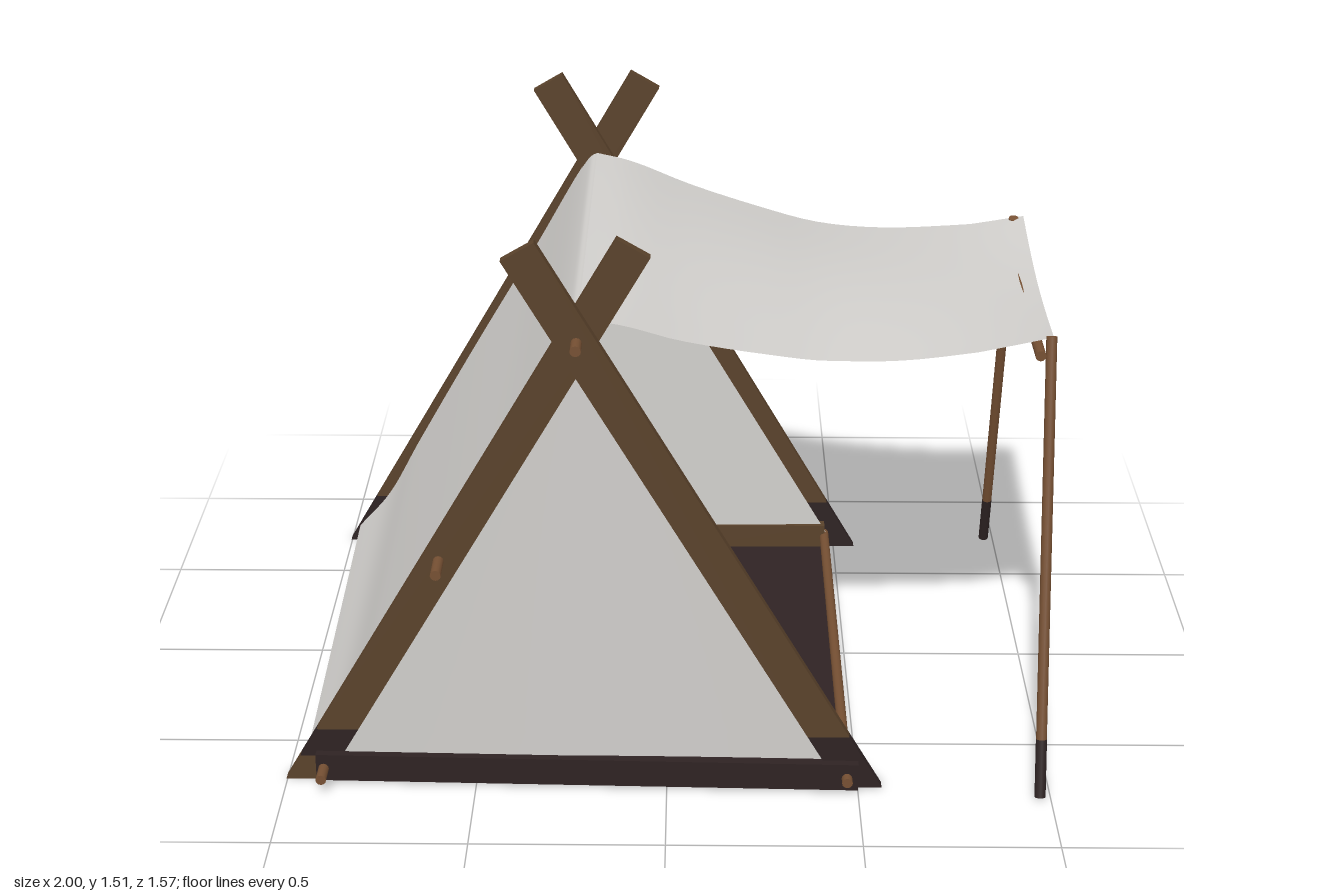
import * as THREE from 'three';

const mat = (name, color, side = THREE.FrontSide) => {
  const m = new THREE.MeshStandardMaterial({ color, side });
  m.name = name;
  return m;
};

export function createModel() {
  const beamWood = mat('beam wood', 0x5a422b);
  const poleWood = mat('pole wood', 0x765033);
  const charred = mat('dark wood', 0x2e2323);
  const floorCloth = mat('floor cloth', 0x2f2324, THREE.DoubleSide);
  const canvas = mat('canvas', 0xd1cfcc, THREE.DoubleSide);

  const tent = new THREE.Group();
  tent.name = 'tent';
  const add = (name, geo, material) => {
    const m = new THREE.Mesh(geo, material);
    m.name = name;
    tent.add(m);
    return m;
  };

  // Round pole between two points
  const pole = (name, a, b, r, material) => {
    const p = new THREE.Vector3(...a), q = new THREE.Vector3(...b);
    const dir = q.clone().sub(p);
    const m = add(name, new THREE.CylinderGeometry(r, r, dir.length(), 12), material);
    m.position.copy(p).add(q).multiplyScalar(0.5);
    m.quaternion.setFromUnitVectors(new THREE.Vector3(0, 1, 0), dir.normalize());
  };

  // Smooth cloth sheet from a rule f(u, v) -> [x, y, z]
  const sheet = (name, nu, nv, f, material) => {
    const geo = new THREE.PlaneGeometry(1, 1, nu, nv);
    const pos = geo.attributes.position;
    for (let i = 0; i < pos.count; i++) {
      pos.setXYZ(i, ...f(pos.getX(i) + 0.5, pos.getY(i) + 0.5));
    }
    geo.computeVertexNormals();
    return add(name, geo, material);
  };

  // Smooth profile through a few points, and straight interpolation along an edge
  const spline = (pts) => new THREE.CatmullRomCurve3(pts.map(([x, y]) => new THREE.Vector3(x, y, 0)), false, 'centripetal');
  const lerp = THREE.MathUtils.lerp;
  const along = (pts, x) => {
    let i = 0;
    while (i < pts.length - 2 && x > pts[i + 1][0]) i++;
    const [a, b] = [pts[i], pts[i + 1]];
    return lerp(a[1], b[1], (x - a[0]) / (b[0] - a[0]));
  };

  // Crossed A-frame beams: s = 1 leans right, s = -1 leans left
  const cx = -0.22, slope = 0.583, half = 0.0545;
  const beamPart = (name, s, z, y0, y1, top, material) => {
    const mid = (y) => cx + s * slope * (y - 1.25);
    const pts = top
      ? [[mid(y0) - s * half, y0], [mid(y0) + s * half, y0], [mid(1.49) + s * 0.041, 1.466], [mid(1.49) - s * 0.041, 1.514]]
      : [[mid(y0) - s * half, y0], [mid(y0) + s * half, y0], [mid(y1) + s * half, y1], [mid(y1) - s * half, y1]];
    const shape = new THREE.Shape(pts.map(([x, y]) => new THREE.Vector2(x, y)));
    const geo = new THREE.ExtrudeGeometry(shape, { depth: 0.027, bevelEnabled: false });
    geo.translate(0, 0, z - 0.0135);
    add(name, geo, material);
  };
  for (const [s, z, low] of [[1, 0.68, 0.07], [-1, 0.707, 0], [1, -0.725, 0], [-1, -0.697, 0]]) {
    if (low) beamPart('beamFoot', s, z, 0, low, false, beamWood);
    beamPart('beamDarkEnd', s, z, low, 0.15, false, charred);
    beamPart('beam', s, z, 0.15, 0, true, beamWood);
  }

  // Long rails running front to back
  for (const [name, x, y] of [['ridgePole', -0.22, 1.255], ['wallRail', -0.58, 0.645], ['lowerRail', -0.9, 0.045], ['entranceRail', 0.47, 0.045]]) {
    pole(name, [x, y, -0.785], [x, y, 0.775], 0.014, poleWood);
  }

  // Base boards: dark in front, two patched layers behind
  const front = add('frontBaseBoard', new THREE.BoxGeometry(1.42, 0.076, 0.022), charred);
  front.position.set(-0.21, 0.047, 0.722);
  front.rotation.y = -0.025;
  const patchedBoard = (name, z, depth, cuts) => {
    for (let i = 0; i < cuts.length - 1; i++) {
      const w = cuts[i + 1] - cuts[i];
      const b = add(name, new THREE.BoxGeometry(w, 0.076, depth), i % 2 ? beamWood : charred);
      b.position.set(cuts[i] + w / 2, 0.047, z);
    }
  };
  patchedBoard('backOuterBoard', -0.697, 0.024, [-0.93, -0.8, -0.62, -0.45, -0.28, -0.21, -0.04, 0.03, 0.25, 0.5]);
  patchedBoard('backInnerBoard', -0.668, 0.034, [-0.93, -0.75, -0.32, -0.21, -0.09, 0.04, 0.47]);

  // Ground sheet with a low fold at the closed side
  sheet('floor', 24, 24, (u, v) => {
    const x = lerp(-0.93, 0.47, u), z = lerp(0.68, -0.69, v);
    const fold = 0.075 * Math.max(0, 1 - Math.abs(z + 0.36) / 0.3) * Math.max(0, 1 - Math.abs(x + 0.8) / 0.1);
    return [x, 0.013 + fold, z];
  }, floorCloth);

  // Sloping canvas wall, wrapped over the ridge pole and flared at the hem
  const wallCurve = spline([[-0.22, 1.278], [-0.24, 1.266], [-0.412, 0.975], [-0.603, 0.652], [-0.775, 0.35], [-0.875, 0.17], [-0.97, 0.06]]);
  sheet('slopingWall', 16, 40, (u, v) => {
    const p = wallCurve.getPoint(1 - v);
    return [p.x + 0.02 * u * (1 - v) ** 3, p.y, lerp(-0.69, 0.63, u)];
  }, canvas);

  // Triangular end walls, sagging slightly inward
  for (const s of [1, -1]) {
    sheet('endWall', 16, 16, (u, v) => {
      const w = 0.7 * (1 - v) * (u * 2 - 1);
      const sag = 0.012 * Math.sin(Math.PI * u) * (1 - v);
      return [cx + w, lerp(0.05, 1.24, v), s * (0.664 - sag)];
    }, canvas);
  }

  // Awning: sagging sheet that narrows toward its poles and dips onto the bar
  const frontEdge = [[-0.22, 0.625], [0, 0.597], [0.2, 0.55], [0.45, 0.492], [0.8, 0.48], [1, 0.445]];
  const backEdge = [[-0.22, -0.685], [-0.1, -0.66], [0.2, -0.59], [0.5, -0.52], [0.85, -0.44], [1, -0.44]];
  const sagCurve = spline([[-0.22, 1.278], [-0.12, 1.268], [0.05, 1.218], [0.25, 1.17], [0.42, 1.137], [0.6, 1.132], [0.8, 1.15], [1, 1.175]]);
  sheet('awning', 28, 16, (u, v) => {
    const p = sagCurve.getPoint(u);
    const across = Math.sin(Math.PI * v);
    const rise = 0.025 * Math.sin(Math.PI * u) * (across * 1.6 - 0.7);
    const dip = u ** 4 * (0.025 * across + 0.012 * (1 - v));
    const z = lerp(along(frontEdge, p.x), along(backEdge, p.x), v);
    return [p.x - 0.02 * (1 - v) * u * u, p.y + rise - dip, z];
  }, canvas);

  // Awning poles with dark feet, and the bar between them
  for (const [z0, z1] of [[0.46, 0.77], [-0.43, -0.74]]) {
    const zk = lerp(z1, z0, 0.13);
    pole('awningPole', [0.972, 0.155, zk], [0.972, 1.172, z0], 0.014, poleWood);
    pole('awningPoleFoot', [0.972, 0.005, z1], [0.972, 0.155, zk], 0.0145, charred);
  }
  pole('awningBar', [0.945, 1.126, 0.48], [0.945, 1.136, -0.475], 0.014, poleWood);

  return tent;
}
